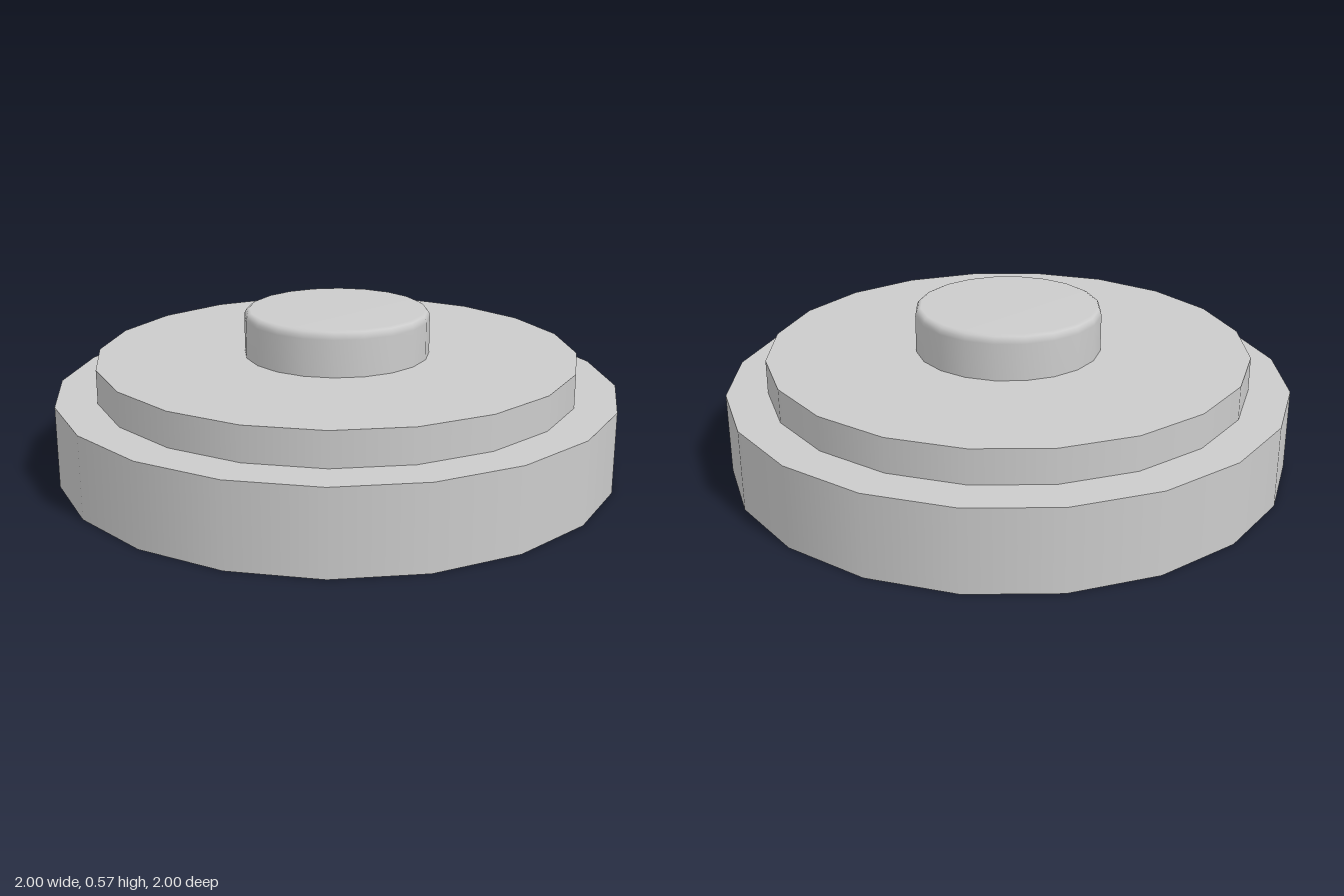
import * as THREE from 'three';

const SIDES = 20;

export function createModel() {
  const group = new THREE.Group();
  const material = new THREE.MeshStandardMaterial({ color: 0xcccccc });

  const add = (name, geometry, y) => {
    const mesh = new THREE.Mesh(geometry, material);
    mesh.name = name;
    mesh.position.y = y;
    group.add(mesh);
  };

  // Stepped discs, each spanning bottom to top
  const disc = (name, radius, bottom, top) =>
    add(name, new THREE.CylinderGeometry(radius, radius, top - bottom, SIDES), (bottom + top) / 2);
  disc('base', 1, 0, 0.29);
  disc('upperTier', 0.855, 0.29, 0.41);

  // Round button with a softened rim
  const profile = [
    [0.33, 0], [0.33, 0.13], [0.328, 0.143], [0.322, 0.154], [0.31, 0.16], [0, 0.16],
  ].map(([r, y]) => new THREE.Vector2(r, y));
  add('button', new THREE.LatheGeometry(profile, SIDES), 0.41);

  return group;
}
